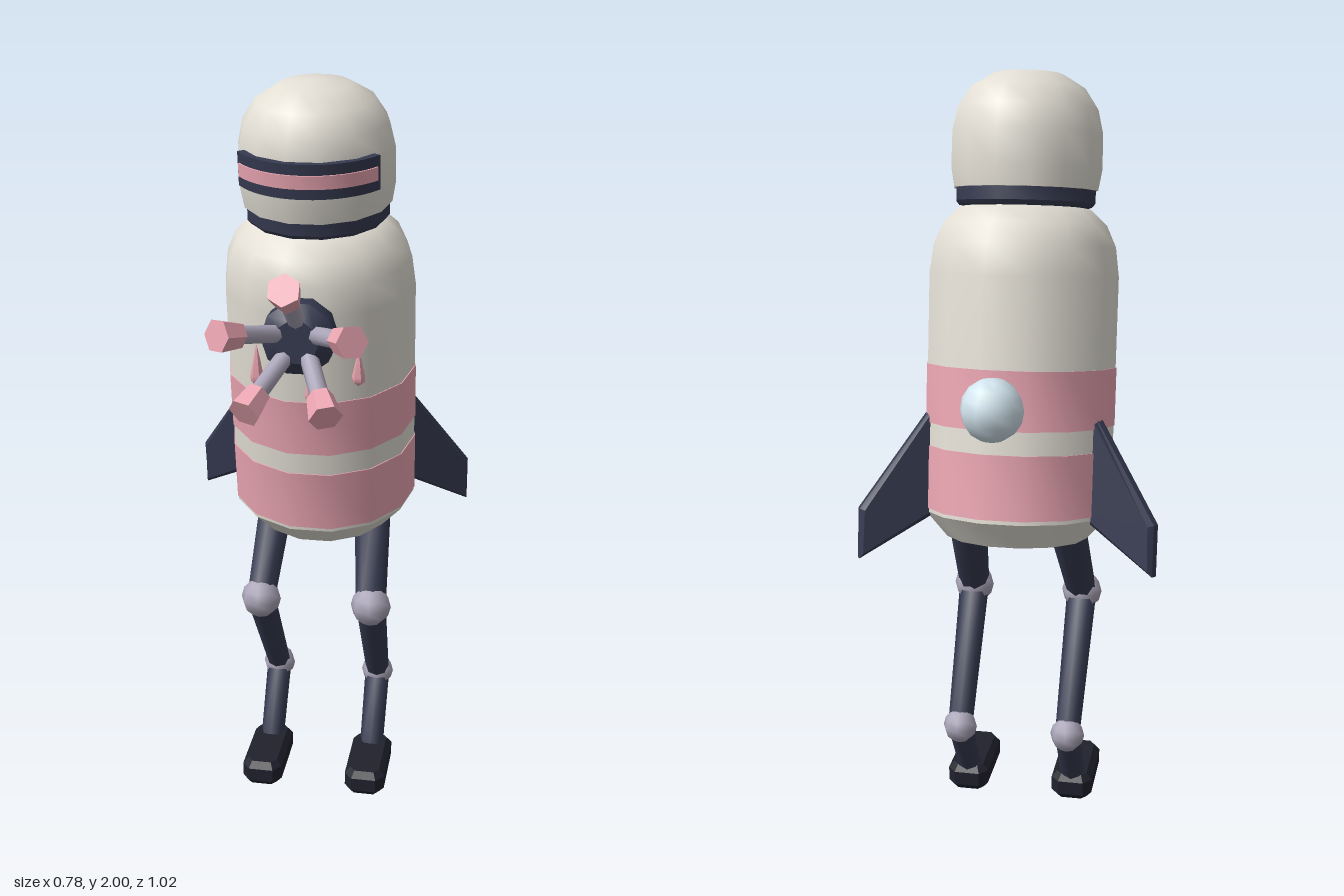
import * as THREE from 'three';
import { toCreasedNormals } from 'three/addons/utils/BufferGeometryUtils.js';

const mat = (color) => new THREE.MeshStandardMaterial({ color });
const cream = mat(0xe2ded4), pink = mat(0xeba6b2), dark = mat(0x363a50);
const black = mat(0x20212c), lilac = mat(0xaaa5b8), glass = mat(0xd2e4ee);
const V = (x, y, z) => new THREE.Vector3(x, y, z);
const SIDES = 14;

function add(parent, name, geometry, material, crease = 0.65) {
  const mesh = new THREE.Mesh(toCreasedNormals(geometry, crease), material);
  mesh.name = name;
  parent.add(mesh);
  return mesh;
}

// Revolved [radius, height] profile with a flat side facing forward
function turned(profile, sides = SIDES) {
  return new THREE.LatheGeometry(profile.map(([r, y]) => new THREE.Vector2(r, y)), sides, Math.PI / sides);
}

// Round bar from a to b
function bar(parent, name, a, b, ra, rb, material, sides = 8) {
  const mesh = add(parent, name, new THREE.CylinderGeometry(rb, ra, a.distanceTo(b), sides), material, 0.9);
  mesh.position.copy(a).lerp(b, 0.5);
  mesh.quaternion.setFromUnitVectors(V(0, 1, 0), b.clone().sub(a).normalize());
  return mesh;
}

function ball(parent, name, p, r, material, w = 8, h = 6) {
  const mesh = add(parent, name, new THREE.SphereGeometry(r, w, h), material, 1.2);
  mesh.position.copy(p);
  return mesh;
}

// Curved strip wrapping the front of the head
function frontArc(inner, outer, halfAngle, height) {
  const s = new THREE.Shape(), m = -Math.PI / 2;
  s.absarc(0, 0, outer, m - halfAngle, m + halfAngle, false);
  s.absarc(0, 0, inner, m + halfAngle, m - halfAngle, true);
  s.closePath();
  const g = new THREE.ExtrudeGeometry(s, { depth: height, bevelEnabled: false, curveSegments: 8 });
  return g.translate(0, 0, -height / 2).rotateX(-Math.PI / 2);
}

function polygon(points) {
  return new THREE.Shape(points.map(([x, y]) => new THREE.Vector2(x, y)));
}

function buildTorso() {
  const torso = new THREE.Group();
  torso.name = 'torso';
  torso.position.set(0, 0.8, -0.11);
  torso.rotation.x = 0.15;

  add(torso, 'body', turned([[0, 0], [0.19, 0], [0.25, 0.07], [0.25, 0.69], [0.24, 0.765],
    [0.215, 0.82], [0.172, 0.86], [0, 0.89]]), cream);
  for (const [low, high] of [[0.08, 0.245], [0.305, 0.456]]) {
    add(torso, 'bodyStripe', turned([[0.249, low], [0.2525, low], [0.2525, high], [0.249, high]]), pink);
  }
  add(torso, 'collar', turned([[0, 0.85], [0.175, 0.865], [0.183, 0.875], [0.183, 0.912], [0, 0.915]]), dark);
  add(torso, 'head', turned([[0, 0.908], [0.189, 0.908], [0.198, 0.96], [0.197, 1.05], [0.183, 1.11],
    [0.148, 1.163], [0.09, 1.198], [0, 1.21]]), cream);
  add(torso, 'visor', frontArc(0.18, 0.209, 0.98, 0.085), dark).position.y = 1.02;
  add(torso, 'visorStrip', frontArc(0.18, 0.213, 0.93, 0.033), pink).position.y = 1.02;

  // Swept fins on both sides
  const outline = polygon([[0.2, 0.08], [0.425, -0.052], [0.425, 0.08], [0.2, 0.4]]);
  for (const side of [1, -1]) {
    const g = new THREE.ExtrudeGeometry(outline, {
      depth: 0.02, bevelThickness: 0.012, bevelSize: 0.012, bevelOffset: -0.012, bevelSegments: 1,
    });
    const fin = add(torso, side > 0 ? 'leftFin' : 'rightFin', g.translate(0, 0, -0.01), dark, 0.4);
    fin.rotation.y = side > 0 ? 0.44 : Math.PI - 0.44;
  }
  return torso;
}

function buildClaw() {
  const claw = new THREE.Group();
  claw.name = 'chestClaw';
  claw.position.set(0, 1.415, 0);
  bar(claw, 'clawMount', V(0, 0, 0.15), V(0, 0, 0.27), 0.062, 0.062, dark, 10);
  const hub = turned([[0, 0.25], [0.082, 0.25], [0.092, 0.262], [0.092, 0.315], [0.055, 0.345], [0, 0.345]], 10);
  add(claw, 'clawHub', hub.rotateX(Math.PI / 2), dark, 0.65);
  // Five splayed fingers with flared tips
  for (let i = 0; i < 5; i++) {
    const a = Math.PI / 2 + (i * Math.PI * 2) / 5;
    const at = (r, z) => V(Math.cos(a) * r, Math.sin(a) * r, z);
    bar(claw, 'clawFinger', at(0.03, 0.3), at(0.14, 0.452), 0.023, 0.023, lilac, 8);
    bar(claw, 'clawTip', at(0.125, 0.432), at(0.165, 0.488), 0.032, 0.041, pink, 6);
  }
  return claw;
}

function buildLeg(side) {
  const leg = new THREE.Group();
  leg.name = side > 0 ? 'leftLeg' : 'rightLeg';
  const hip = V(side * 0.135, 0.84, -0.11), knee = V(side * 0.155, 0.58, 0.063);
  const ankle = V(side * 0.15, 0.246, -0.165), heel = V(side * 0.15, 0.06, -0.045);
  bar(leg, 'thigh', hip, knee, 0.052, 0.042, dark);
  ball(leg, 'knee', knee, 0.056, lilac);
  bar(leg, 'shin', knee, ankle, 0.042, 0.034, dark);
  ball(leg, 'ankle', ankle, 0.047, lilac);
  bar(leg, 'lowerShin', ankle, heel, 0.036, 0.034, dark);

  // Bevelled foot with cut corners
  const sole = polygon([[-0.035, -0.138], [0.035, -0.138], [0.057, -0.11], [0.057, 0.07],
    [0.035, 0.095], [-0.035, 0.095], [-0.057, 0.07], [-0.057, -0.11]]);
  const g = new THREE.ExtrudeGeometry(sole, {
    depth: 0.039, bevelThickness: 0.018, bevelSize: 0.015, bevelOffset: -0.015, bevelSegments: 1,
  });
  g.translate(0, 0, 0.018).rotateX(-Math.PI / 2);
  add(leg, 'foot', g, black, 0.3).position.x = side * 0.15;
  return leg;
}

export function createModel() {
  const model = new THREE.Group();
  model.name = 'robot';
  model.add(buildTorso(), buildClaw(), buildLeg(1), buildLeg(-1));

  // Small teardrop spikes on the chest
  for (const [x, y, z, h] of [[-0.13, 1.305, 0.183, 0.12], [0.015, 1.268, 0.212, 0.1], [0.13, 1.31, 0.183, 0.1]]) {
    const drop = turned([[0, -h / 2], [0.016, -h * 0.38], [0.017, -h * 0.25], [0, h / 2]], 6);
    add(model, 'chestSpike', drop, pink, 0.9).position.set(x, y, z);
  }

  // Ball on a short stalk at the back
  bar(model, 'backStalk', V(0, 1.2, -0.22), V(0, 1.22, -0.4), 0.031, 0.031, lilac);
  ball(model, 'backBall', V(0, 1.225, -0.43), 0.078, glass, 10, 8);
  return model;
}
